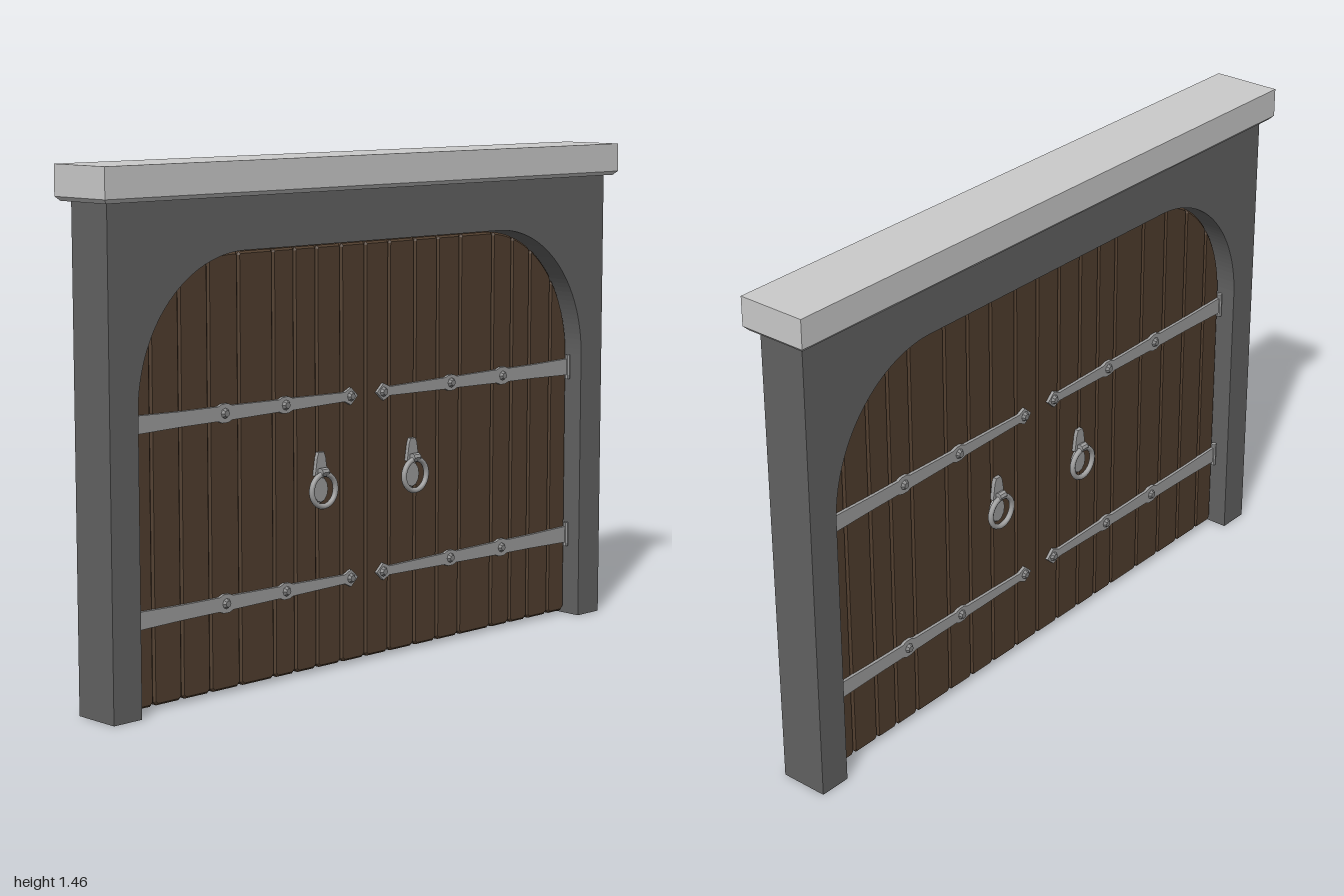
import * as THREE from 'three';

const mat = (color, flatShading = true) => new THREE.MeshStandardMaterial({ color, flatShading });
const stone = mat(0x636363), capStone = mat(0xcccccc), wood = mat(0x523f2f);
const iron = mat(0x9e9e9e), darkIron = mat(0x858585), ringIron = mat(0xa0a0a0, false);

const DOOR = 0.02; // half thickness of the door leaves

function add(parent, name, geometry, material, x = 0, y = 0, z = 0) {
  const mesh = new THREE.Mesh(geometry, material);
  mesh.name = name;
  mesh.position.set(x, y, z);
  parent.add(mesh);
  return mesh;
}

// Height of the round-shouldered arch at x, shrunk by an inset
function archY(x, inset) {
  const rx = 0.375 - inset, ry = 0.4 - inset;
  const t = Math.min(1, Math.max(0, (Math.abs(x) - 0.5) / rx));
  return 0.815 + ry * Math.sqrt(1 - t * t);
}

// Wall with the arched opening cut up from the ground
function makeFrame(group) {
  const s = new THREE.Shape();
  s.moveTo(-0.97, 0).lineTo(-0.875, 0).lineTo(-0.875, 0.815);
  s.absellipse(-0.5, 0.815, 0.375, 0.4, Math.PI, Math.PI / 2, true);
  s.lineTo(0.5, 1.215);
  s.absellipse(0.5, 0.815, 0.375, 0.4, Math.PI / 2, 0, true);
  s.lineTo(0.875, 0).lineTo(0.97, 0).lineTo(0.97, 1.365).lineTo(-0.97, 1.365);
  const geo = new THREE.ExtrudeGeometry(s, { depth: 0.144, bevelEnabled: false, curveSegments: 20 });
  add(group, 'archFrame', geo, stone, 0, 0, -0.072);
}

// Coping slab with a chamfered lower edge
function makeCap(group) {
  const geo = new THREE.BoxGeometry(2, 0.095, 0.206, 1, 2, 1);
  const p = geo.attributes.position;
  for (let i = 0; i < p.count; i++) {
    if (Math.abs(p.getY(i)) < 0.001) p.setY(i, -0.036);
    else if (p.getY(i) < 0) {
      p.setX(i, p.getX(i) - Math.sign(p.getX(i)) * 0.011);
      p.setZ(i, p.getZ(i) - Math.sign(p.getZ(i)) * 0.011);
    }
  }
  geo.computeVertexNormals();
  add(group, 'topCap', geo, capStone, 0, 1.408, 0);
}

// Bevelled plank between two x positions, its top following the arch
function plankGeometry(x0, x1) {
  const b = 0.006, cut = 0.007, inset = 0.008 + b, y0 = 0.01 + b;
  const a = x0 + b, c = x1 - b;
  const s = new THREE.Shape();
  s.moveTo(a + cut, y0).lineTo(c - cut, y0).lineTo(c, y0 + cut);
  const n = 10;
  for (let i = 0; i <= n; i++) {
    // points crowd towards the steep ends of the arch
    const u = (1 - Math.cos((Math.PI * i) / n)) / 2;
    const x = c + (a - c) * u;
    s.lineTo(x, archY(x, inset) - (i === 0 || i === n ? 0.004 : 0));
  }
  s.lineTo(a, y0 + cut);
  const geo = new THREE.ExtrudeGeometry(s, {
    depth: 2 * (DOOR - b), bevelThickness: b, bevelSize: b, bevelSegments: 1,
  });
  return geo.translate(0, 0, -DOOR + b);
}

function makeDoors(group) {
  const seams = {
    leftDoor: [0, 0.095, 0.2, 0.295, 0.39, 0.53, 0.615, 0.695, 0.79, 0.867],
    rightDoor: [-0.867, -0.79, -0.69, -0.588, -0.48, -0.353, -0.273, -0.19, -0.095, 0],
  };
  for (const [name, xs] of Object.entries(seams)) {
    const door = new THREE.Group();
    door.name = name;
    for (let i = 0; i + 1 < xs.length; i++) add(door, 'plank', plankGeometry(xs[i], xs[i + 1]), wood);
    group.add(door);
  }
}

// Tapered iron strap with swellings at the rivets and a diamond tip
function makeStrap(parent, side, y, rivets) {
  const strap = new THREE.Group();
  strap.name = 'strapHinge';
  const [tip, mid, outer] = rivets;
  const edge = [[tip - 0.027, 0], [tip, 0.025], [tip + 0.025, 0.013]];
  for (const [x, h] of [[mid, 0.017], [outer, 0.02]])
    edge.push([x - 0.025, h], [x - 0.01, h + 0.006], [x + 0.01, h + 0.006], [x + 0.025, h]);
  edge.push([0.7, 0.021], [0.865, 0.025]);
  const lower = edge.slice(1).reverse().map(([x, h]) => [x, -h]);
  const s = new THREE.Shape([...edge, ...lower].map(([x, h]) => new THREE.Vector2(side * x, h)));
  const geo = new THREE.ExtrudeGeometry(s, { depth: 0.01, bevelEnabled: false });
  add(strap, 'strap', geo, iron, 0, 0, DOOR - 0.001);
  for (const x of rivets) {
    const rivet = new THREE.CylinderGeometry(0.009, 0.015, 0.009, 8).rotateX(Math.PI / 2);
    add(strap, 'rivet', rivet, darkIron, side * x, 0, DOOR + 0.013);
  }
  add(strap, 'hingeBarrel', new THREE.CylinderGeometry(0.008, 0.008, 0.074, 8), iron, side * 0.865, 0, DOOR + 0.006);
  strap.position.y = y;
  parent.add(strap);
}

// Ring pull hanging from a bracket over an oval plate
function makeHandle(parent, side) {
  const handle = new THREE.Group();
  handle.name = 'ringPull';
  const plate = new THREE.CylinderGeometry(0.027, 0.032, 0.01, 12).rotateX(Math.PI / 2).scale(1, 1.3, 1);
  add(handle, 'backPlate', plate, iron, 0, 0, DOOR + 0.004);
  add(handle, 'ring', new THREE.TorusGeometry(0.046, 0.008, 8, 24), ringIron, 0, 0, DOOR + 0.02);
  const s = new THREE.Shape();
  s.moveTo(-0.024, -0.03).lineTo(0.024, -0.03).lineTo(0.016, 0.02).lineTo(0.01, 0.035);
  s.lineTo(-0.01, 0.035).lineTo(-0.016, 0.02);
  const bracket = new THREE.ExtrudeGeometry(s, { depth: 0.012, bevelEnabled: false });
  add(handle, 'bracket', bracket, iron, 0, 0.072, DOOR - 0.001);
  const knuckle = new THREE.CylinderGeometry(0.012, 0.012, 0.026, 8).rotateZ(Math.PI / 2);
  add(handle, 'knuckle', knuckle, iron, 0, 0.052, DOOR + 0.02);
  handle.position.set(side * 0.183, 0.522, 0);
  parent.add(handle);
}

export function createModel() {
  const group = new THREE.Group();
  group.name = 'archedGate';
  makeFrame(group);
  makeCap(group);
  makeDoors(group);

  // Ironwork on both faces; the back is turned round with its sides swapped
  for (const face of [1, -1]) {
    const hardware = new THREE.Group();
    hardware.name = face > 0 ? 'frontIronwork' : 'backIronwork';
    for (const side of [1, -1]) {
      const rivets = side * face > 0 ? [0.065, 0.345, 0.568] : [0.065, 0.315, 0.538];
      for (const y of [0.252, 0.775]) makeStrap(hardware, side, y, rivets);
      makeHandle(hardware, side);
    }
    if (face < 0) hardware.rotation.y = Math.PI;
    group.add(hardware);
  }
  return group;
}
